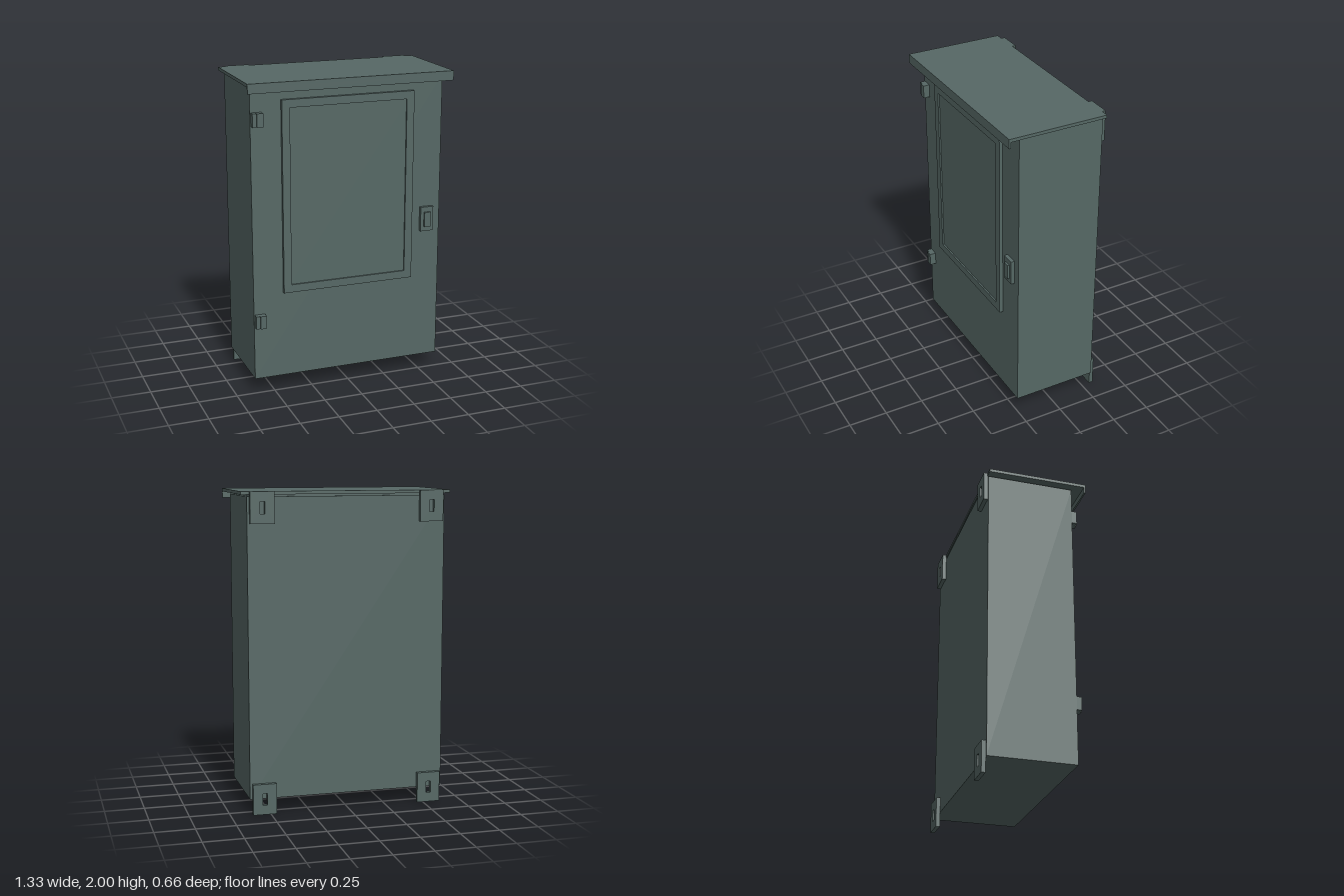
import * as THREE from 'three';

export function createModel() {
  const group = new THREE.Group();
  group.name = 'cabinet';
  const paint = new THREE.MeshStandardMaterial({ color: 0x566865 });
  paint.name = 'greyGreenPaint';

  const add = (name, geometry) => {
    const mesh = new THREE.Mesh(geometry, paint);
    mesh.name = name;
    group.add(mesh);
    return mesh;
  };

  // Box given by its low and high limits on each axis
  const box = (name, [x0, x1], [y0, y1], [z0, z1]) =>
    add(name, new THREE.BoxGeometry(x1 - x0, y1 - y0, z1 - z0))
      .position.set((x0 + x1) / 2, (y0 + y1) / 2, (z0 + z1) / 2);

  // Upright plate with a rectangular hole, centred on x and y, starting at z
  const holedPlate = (name, x, y, z, [w, h], [holeW, holeH], depth) => {
    const rect = (path, a, b) => path.moveTo(-a / 2, -b / 2).lineTo(a / 2, -b / 2)
      .lineTo(a / 2, b / 2).lineTo(-a / 2, b / 2).closePath();
    const shape = rect(new THREE.Shape(), w, h);
    shape.holes.push(rect(new THREE.Path(), holeW, holeH));
    add(name, new THREE.ExtrudeGeometry(shape, { depth, bevelEnabled: false })).position.set(x, y, z);
  };

  // Body and overhanging roof with a front drip lip
  box('body', [-0.627, 0.627], [0.097, 1.968], [-0.305, 0.246]);
  box('roofSpacer', [-0.61, 0.61], [1.968, 1.98], [-0.293, 0.234]);
  box('roof', [-0.664, 0.664], [1.98, 2], [-0.307, 0.331]);
  box('roofLip', [-0.664, 0.664], [1.94, 1.98], [0.321, 0.331]);

  // Raised door panel with a shallow recess
  box('doorPanel', [-0.434, 0.43], [0.657, 1.88], [0.246, 0.258]);
  holedPlate('doorPanelFrame', -0.002, 1.2685, 0.258, [0.864, 1.223], [0.764, 1.123], 0.01);

  // Latch on the left of the door
  box('latchPlate', [0.49, 0.577], [0.96, 1.12], [0.246, 0.268]);
  box('latchHandle', [0.512, 0.555], [0.99, 1.087], [0.268, 0.281]);

  // Two hinges
  for (const y of [0.487, 1.77]) {
    const span = [y - 0.042, y + 0.042];
    box('hingeKnuckle', [-0.622, -0.604], span, [0.246, 0.28]);
    box('hingePin', [-0.604, -0.596], span, [0.246, 0.276]);
    box('hingeLeaf', [-0.596, -0.556], span, [0.246, 0.287]);
  }

  // Four slotted wall brackets on the back
  for (const x of [-0.537, 0.537]) {
    for (const y of [0.098, 1.903]) {
      holedPlate('wallBracket', x, y, -0.331, [0.15, 0.194], [0.03, 0.075], 0.026);
    }
  }
  return group;
}
